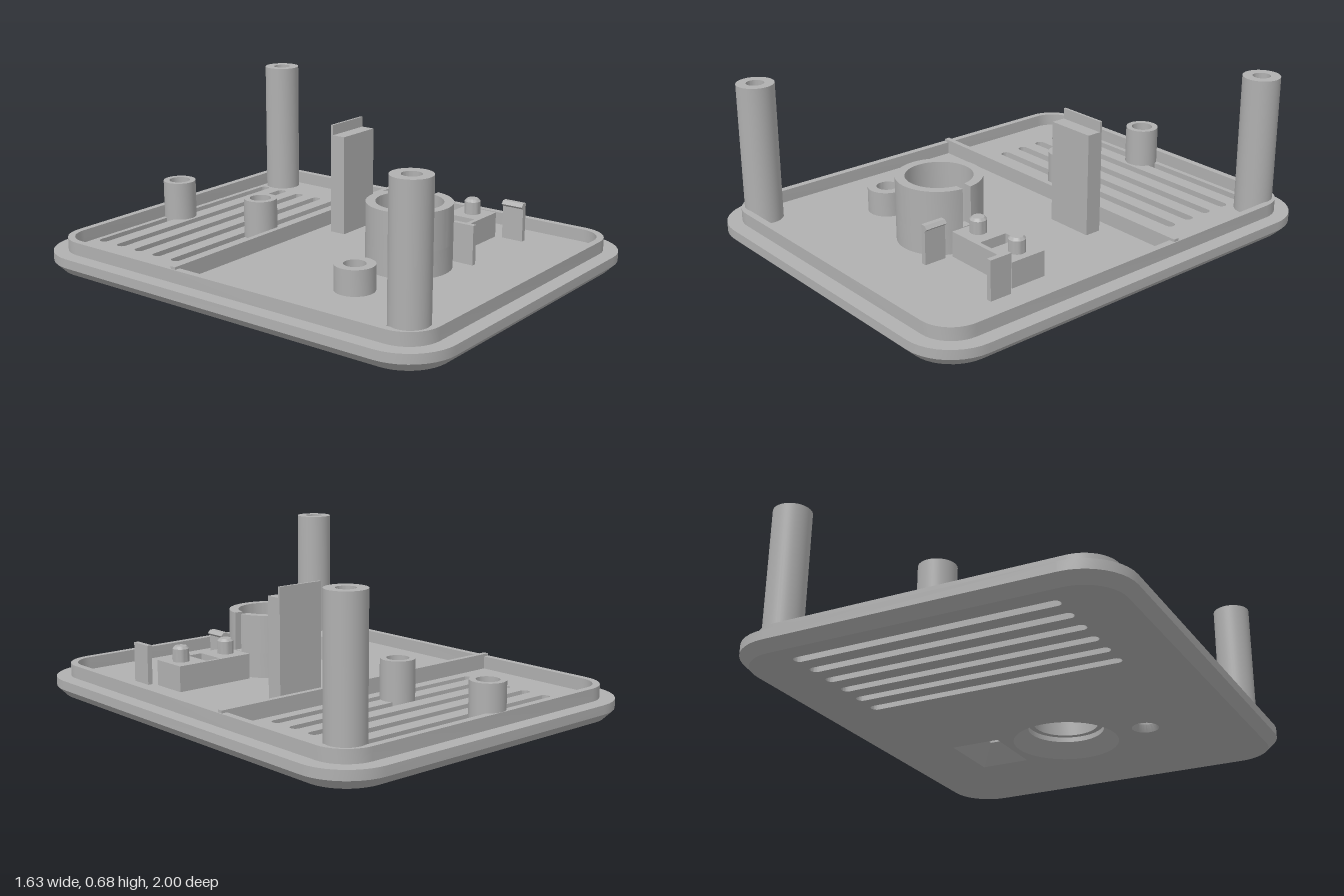
import * as THREE from 'three';
import { mergeGeometries, toCreasedNormals } from 'three/addons/utils/BufferGeometryUtils.js';

const FLOOR = 0.08;

// Rounded rectangle outline (half sizes a, b) centred on x, z; counter-clockwise from above
function ring(x, z, a, b, r, n = 10) {
  const pts = [];
  const corners = [[1, 1], [-1, 1], [-1, -1], [1, -1]];
  corners.forEach(([sx, sy], q) => {
    for (let i = 0; i <= n; i++) {
      const t = (q + i / n) * Math.PI / 2;
      const p = new THREE.Vector2(
        x + sx * (a - r) + r * Math.cos(t),
        -z + sy * (b - r) + r * Math.sin(t));
      if (!pts.some((o) => o.distanceTo(p) < 1e-5)) pts.push(p);
    }
  });
  return pts;
}
const circle = (x, z, r) => ring(x, z, r, r, r);

function shapeOf(outer, holes = []) {
  const s = new THREE.Shape(outer);
  s.holes = holes.map((h) => new THREE.Path(h));
  return s;
}

// Wall between two matching outlines; inward walls line a hole
function wall(lower, y0, upper, y1, inward = false) {
  const pos = [];
  lower.forEach((p, i) => {
    const j = (i + 1) % lower.length;
    const a = [p.x, y0, -p.y], b = [lower[j].x, y0, -lower[j].y];
    const c = [upper[j].x, y1, -upper[j].y], d = [upper[i].x, y1, -upper[i].y];
    pos.push(...(inward ? [a, c, b, a, d, c] : [a, b, c, a, c, d]).flat());
  });
  const g = new THREE.BufferGeometry();
  g.setAttribute('position', new THREE.Float32BufferAttribute(pos, 3));
  return g;
}

// Flat face at height y
function cap(outer, holes, y, down = false) {
  const g = new THREE.ShapeGeometry(shapeOf(outer, holes));
  if (down) g.setIndex(Array.from(g.index.array).reverse());
  g.rotateX(-Math.PI / 2).translate(0, y, 0);
  const flat = g.toNonIndexed();
  flat.deleteAttribute('normal');
  flat.deleteAttribute('uv');
  return flat;
}

// Upright solid from a plan shape
function rise(shape, y0, y1) {
  const g = new THREE.ExtrudeGeometry(shape, { depth: y1 - y0, bevelEnabled: false, curveSegments: 40 });
  g.rotateX(-Math.PI / 2).translate(0, y0, 0);
  return toCreasedNormals(g, 0.5);
}

export function createModel() {
  const group = new THREE.Group();
  const grey = new THREE.MeshStandardMaterial({ color: 0xb0b0b0 });
  grey.name = 'grey plastic';
  const add = (name, geometry) => {
    const m = new THREE.Mesh(geometry, grey);
    m.name = name;
    group.add(m);
    return m;
  };

  // Base plate: chamfered underside, vents, funnel openings
  const bottom = ring(0, 0, 0.775, 0.96, 0.17);
  const edge = ring(0, 0, 0.815, 1, 0.21);
  const vents = [];
  for (let i = 0; i < 6; i++) vents.push(ring(0, -0.86 + i * 0.108, 0.555, 0.022, 0.022));
  const wide = circle(0, 0.38, 0.23), bore = circle(0, 0.38, 0.165);
  const smallWide = circle(-0.37, 0.38, 0.058), small = circle(-0.37, 0.38, 0.042);
  const pocket = ring(0.37, 0.375, 0.11, 0.145, 0), windowHole = ring(0.37, 0.375, 0.035, 0.065, 0);
  const plate = mergeGeometries([
    cap(bottom, [...vents, wide, smallWide, pocket], 0, true),
    wall(bottom, 0, edge, 0.04),
    wall(edge, 0.04, edge, FLOOR),
    cap(edge, [...vents, bore, small, windowHole], FLOOR),
    ...vents.map((v) => wall(v, 0, v, FLOOR, true)),
    wall(wide, 0, bore, 0.058, true),
    wall(bore, 0.058, bore, FLOOR, true),
    wall(smallWide, 0, small, 0.03, true),
    wall(small, 0.03, small, FLOOR, true),
    wall(pocket, 0, windowHole, FLOOR, true),
  ]);
  add('basePlate', toCreasedNormals(plate, 0.5));

  // Locating lip and dividing rib
  add('lip', rise(shapeOf(ring(0, 0, 0.75, 0.935, 0.14), [ring(0, 0, 0.72, 0.905, 0.11)]), FLOOR, 0.135));
  add('dividerRib', rise(shapeOf(ring(0, -0.237, 0.745, 0.012, 0)), FLOOR, 0.146));

  // Hollow posts and bosses
  const tube = (name, x, z, outer, inner, top) =>
    add(name, rise(shapeOf(circle(x, z, outer), [circle(x, z, inner)]), FLOOR, top));
  tube('frontPost', -0.645, 0.828, 0.08, 0.038, 0.68);
  tube('backPost', 0.643, -0.83, 0.08, 0.038, 0.68);
  tube('smallBoss', -0.37, 0.38, 0.084, 0.046, 0.188);
  for (const z of [-0.86, -0.37]) {
    tube('ventBoss', -0.06, z, 0.073, 0.047, 0.25);
    add('ventBossFoot', rise(shapeOf(circle(-0.06, z, 0.072)), 0.045, FLOOR + 0.005));
  }

  // Large sleeve with a notch on its left side
  tube('sleeve', 0, 0.38, 0.18, 0.14, 0.19);
  const notched = new THREE.Shape();
  const aOut = 0.02 / 0.18, aIn = 0.02 / 0.14;
  notched.absarc(0, -0.38, 0.18, aOut, Math.PI * 2 - aOut, false);
  notched.absarc(0, -0.38, 0.14, Math.PI * 2 - aIn, aIn, true);
  add('notchedSleeve', rise(notched, 0.19, 0.355));

  // Window block with two locating pegs
  add('windowBlock', rise(shapeOf(ring(0.3675, 0.378, 0.183, 0.082, 0), [windowHole]), FLOOR, 0.19));
  const pegProfile = [[0.035, 0], [0.035, 0.055], [0.025, 0.066], [0, 0.066]]
    .map(([r, y]) => new THREE.Vector2(r, y));
  for (const x of [0.25, 0.485]) {
    const peg = toCreasedNormals(new THREE.LatheGeometry(pegProfile, 28), 0.5);
    add('peg', peg).position.set(x, 0.19, 0.38);
  }

  // Mirrored snap clips with inward hooks
  const clip = [[0.155, FLOOR], [0.177, FLOOR], [0.177, 0.225], [0.19, 0.236], [0.177, 0.25], [0.155, 0.25]];
  for (const mirrored of [false, true]) {
    const pts = clip.map(([x, y]) => new THREE.Vector2(mirrored ? 0.735 - x : x, y));
    const g = new THREE.ExtrudeGeometry(new THREE.Shape(pts), { depth: 0.1, bevelEnabled: false });
    add('snapClip', g.translate(0, 0, 0.49));
  }

  // Upright stop with a raised back edge
  const stop = [[-0.085, FLOOR], [-0.085, 0.52], [-0.147, 0.52], [-0.147, 0.565], [-0.158, 0.565], [-0.158, FLOOR]];
  const stopShape = new THREE.Shape(stop.map(([z, y]) => new THREE.Vector2(-z, y)));
  const stopGeo = new THREE.ExtrudeGeometry(stopShape, { depth: 0.215, bevelEnabled: false });
  add('uprightStop', stopGeo.rotateY(Math.PI / 2).translate(0.17, 0, 0));

  return group;
}
